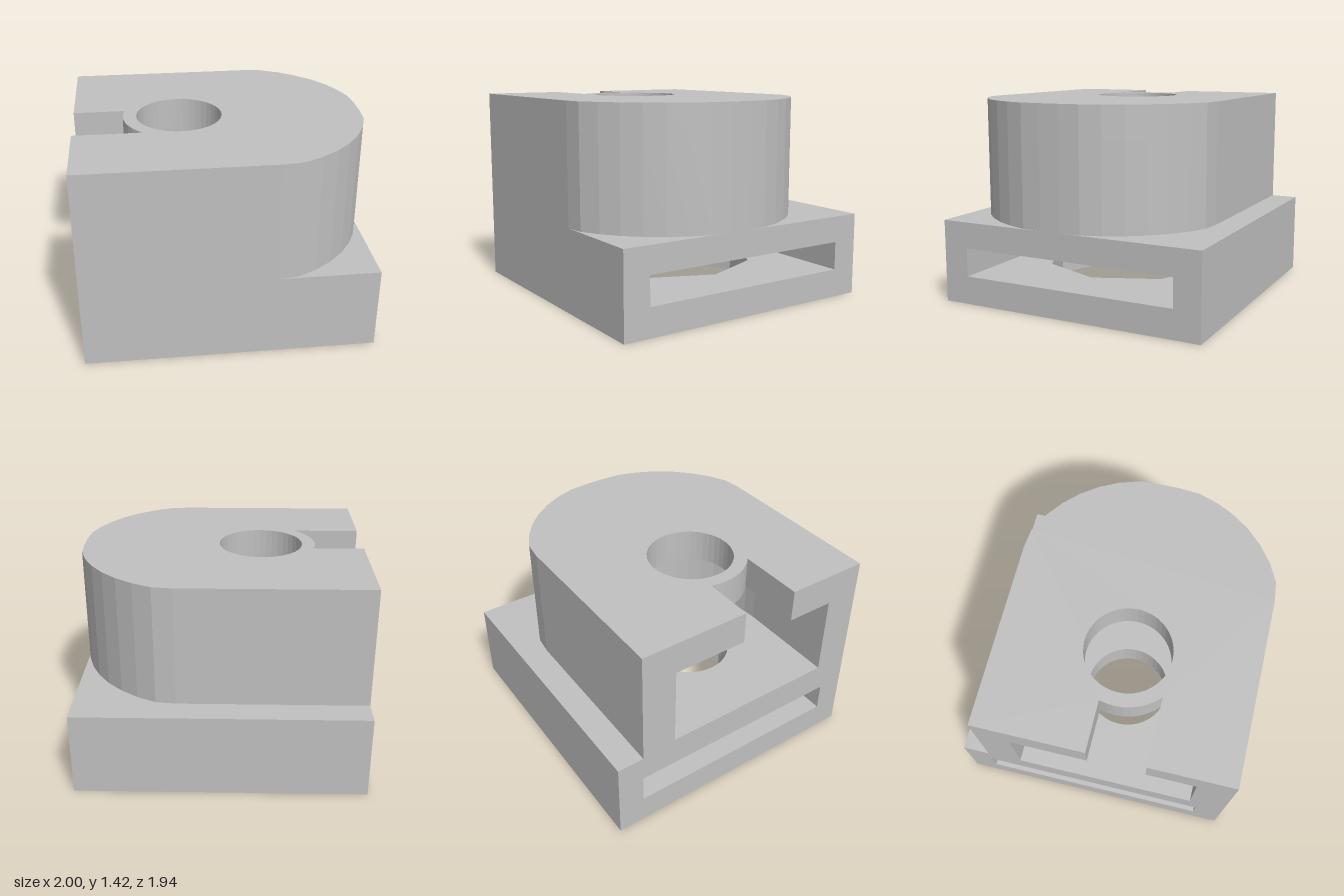
import * as THREE from 'three';

const BORE = { x: -0.27, z: 0.095, r: 0.297 };
const MID_Z = 0.095;

// Points [x, z] along an arc, angles in degrees
function arc(cx, cz, r, from, to, steps) {
  return Array.from({ length: steps + 1 }, (_, i) => {
    const a = THREE.MathUtils.degToRad(from + ((to - from) * i) / steps);
    return [cx + r * Math.cos(a), cz + r * Math.sin(a)];
  });
}

const toVectors = (points) => points.map(([x, z]) => new THREE.Vector2(x, z));

const rect = (x0, x1, z0, z1) => [[x0, z0], [x1, z0], [x1, z1], [x0, z1]];

export function createModel() {
  const group = new THREE.Group();
  const grey = new THREE.MeshStandardMaterial({ color: 0xc0c0c0 });
  grey.name = 'plain grey';

  // Horizontal layer with the given outline and holes, between two heights
  function layer(name, y0, y1, outline, ...holes) {
    const shape = new THREE.Shape(toVectors(outline));
    holes.forEach((h) => shape.holes.push(new THREE.Path(toVectors(h))));
    const geometry = new THREE.ExtrudeGeometry(shape, { depth: y1 - y0, bevelEnabled: false });
    geometry.rotateX(Math.PI / 2).translate(0, y1, 0);
    const mesh = new THREE.Mesh(geometry, grey);
    mesh.name = name;
    group.add(mesh);
  }

  const square = rect(-1, 1, -0.97, 0.97);
  const bore = arc(BORE.x, BORE.z, BORE.r, 0, 360, 40).slice(0, -1);
  const octagon = arc(0, 0, 0.63, 0, 360, 8).slice(0, -1);

  // Block outline: straight sides and a faceted round nose, trimmed to the base
  const nose = arc(0.085, 0, 0.93, -76.5, 76.5, 17).map(([x, z]) => [
    Math.min(x, 1),
    MID_Z + THREE.MathUtils.clamp(z, -0.875, 0.875),
  ]);
  const block = [[-1, MID_Z - 0.875], ...nose, [-1, MID_Z + 0.875]];

  // Base with a flat slot running through it
  layer('basePlate', 0, 0.2, square, octagon);
  layer('slotRailBack', 0.2, 0.4, rect(-1, 1, -0.97, -0.783));
  layer('slotRailFront', 0.2, 0.4, rect(-1, 1, 0.783, 0.97));
  layer('slotRoof', 0.4, 0.585, square, bore);

  // Upper block with a round-ended cavity open at one end
  layer('cavityFloor', 0.585, 0.615, block, bore);
  const cavity = [
    [-1, MID_Z + 0.63],
    ...arc(BORE.x, BORE.z, 0.63, 90, -90, 20),
    [-1, MID_Z - 0.63],
  ];
  layer('cavityWalls', 0.615, 1.192, [...block, ...cavity]);

  // Roof with the bore and a narrow notch stopping at the bore's rim
  const notch = [
    [-1, 0.385],
    ...arc(BORE.x, BORE.z, 0.39, 132, 195.6, 8),
    [-1, -0.01],
  ];
  layer('roof', 1.192, 1.42, [...block, ...notch], bore);

  return group;
}
